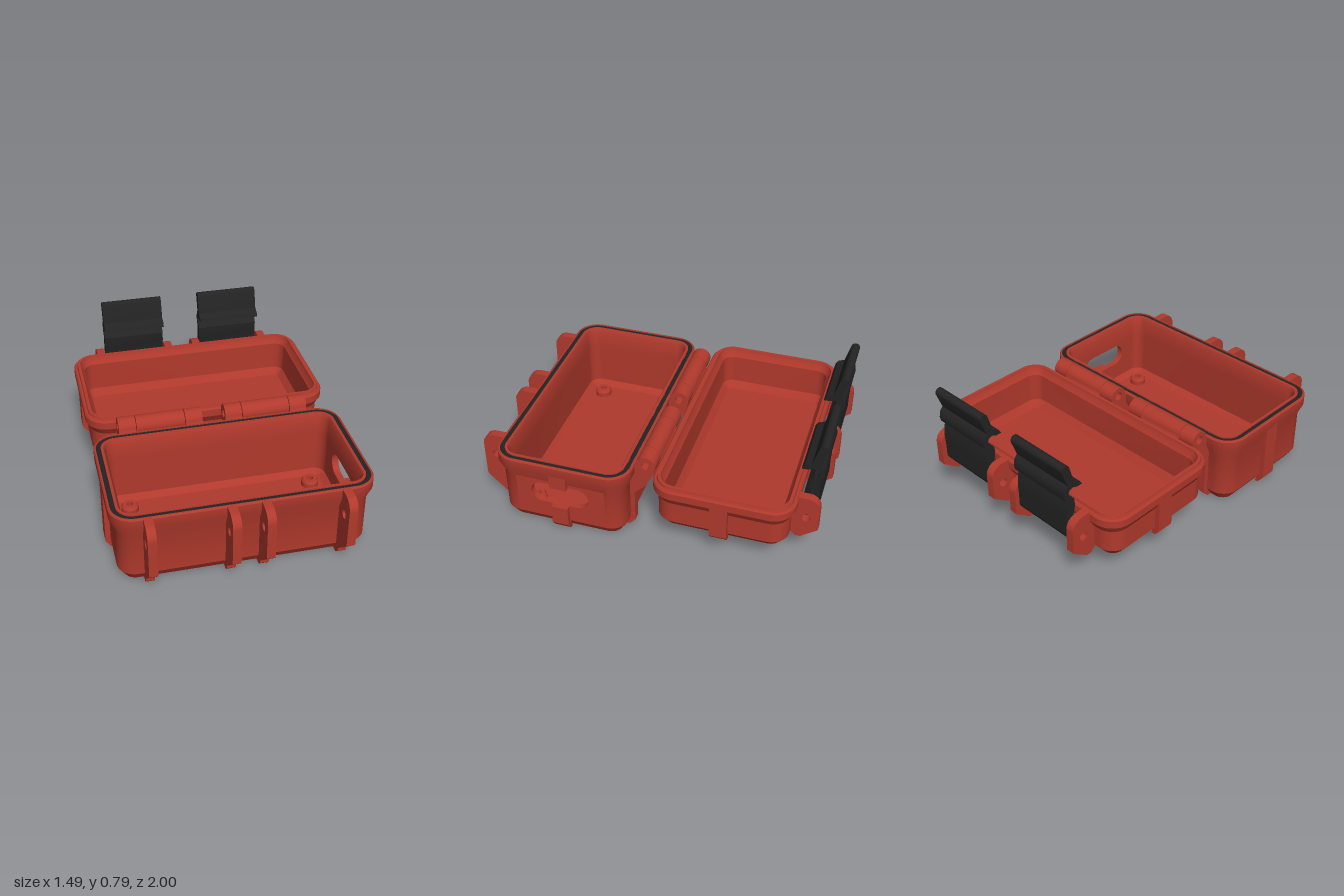
import * as THREE from 'three';
import { toCreasedNormals } from 'three/addons/utils/BufferGeometryUtils.js';

const material = (name, hex) => {
  const m = new THREE.MeshStandardMaterial({ color: hex });
  m.name = name;
  return m;
};

// Rounded-rectangle plan shared by both halves
const EX = 0.61, EZ = 0.27, R = 0.135, SEG = 10;

// Ring of points, inset by d from the outer rim; d = null collapses to the centre
function ring([d, y]) {
  const pts = [];
  for (let k = 0; k < 4; k++) {
    const sx = k === 0 || k === 3 ? 1 : -1, sz = k < 2 ? 1 : -1;
    for (let i = 0; i <= SEG; i++) {
      const a = (k + i / SEG) * Math.PI / 2;
      pts.push(d === null ? [0, y, 0]
        : [sx * EX + (R - d) * Math.cos(a), y, sz * EZ + (R - d) * Math.sin(a)]);
    }
  }
  return pts;
}

// Skin a profile of [inset, height]; bands in openBands lack their straight +x panel
function shell(profile, openBands = []) {
  const rings = profile.map(ring), n = rings[0].length, pos = [];
  for (let j = 0; j < rings.length - 1; j++) {
    for (let i = 0; i < n; i++) {
      if (i === n - 1 && openBands.includes(j)) continue;
      const k = (i + 1) % n;
      const a = rings[j][i], b = rings[j + 1][i], c = rings[j][k], d = rings[j + 1][k];
      if (profile[j][0] !== null) pos.push(...a, ...b, ...c);
      if (profile[j + 1][0] !== null) pos.push(...c, ...b, ...d);
    }
  }
  const g = new THREE.BufferGeometry();
  g.setAttribute('position', new THREE.Float32BufferAttribute(pos, 3));
  return toCreasedNormals(g, 0.5);
}

// Points along an arc, angles in degrees
function arc(cx, cy, r, a0, a1, n = 12) {
  return Array.from({ length: n + 1 }, (_, i) => {
    const a = (a0 + (a1 - a0) * i / n) * Math.PI / 180;
    return [cx + r * Math.cos(a), cy + r * Math.sin(a)];
  });
}

const vectors = (pts) => pts.map(([x, y]) => new THREE.Vector2(x, y));

function extrude(pts, depth, hole) {
  const s = new THREE.Shape(vectors(pts));
  if (hole) s.holes.push(new THREE.Path(vectors(hole)));
  return new THREE.ExtrudeGeometry(s, { depth, bevelEnabled: false });
}

// Side profile of [z, y] points, extruded from x0 to x1
function slab(x0, x1, pts, hole) {
  const g = extrude(pts, x1 - x0, hole);
  g.rotateY(-Math.PI / 2).translate(x1, 0, 0);
  return toCreasedNormals(g, 0.5);
}

const flip = (pts) => pts.map(([z, y]) => [-z, y]);

export function createModel() {
  const red = material('case red', 0xb0392c);
  const black = material('rubber black', 0x232323);
  const model = new THREE.Group();
  const base = new THREE.Group(), lid = new THREE.Group();
  base.name = 'base';
  lid.name = 'lid';
  model.add(base, lid);

  const add = (parent, name, geometry, mat, x = 0, y = 0, z = 0) => {
    const m = new THREE.Mesh(geometry, mat);
    m.name = name;
    m.position.set(x, y, z);
    parent.add(m);
    return m;
  };
  // Same slab on the left and right halves
  const pair = (parent, name, x0, x1, pts, hole, mat = red) => {
    add(parent, name, slab(x0, x1, pts, hole), mat);
    add(parent, name, slab(-x1, -x0, pts, hole), mat);
  };

  // Base tub, with a groove in the rim
  add(base, 'tub', shell([
    [null, 0], [0.07, 0], [0.03, 0.06], [0.03, 0.33], [0, 0.40], [0, 0.457], [0.007, 0.465],
    [0.014, 0.465], [0.014, 0.45], [0.042, 0.45], [0.042, 0.465], [0.058, 0.465], [0.07, 0.44],
    [0.07, 0.33], [0.07, 0.06], [0.105, 0.03], [null, 0.03],
  ], [2, 13]), red, 0, 0, 0.47);
  add(base, 'gasket', shell([
    [0.014, 0.45], [0.014, 0.458], [0.02, 0.462], [0.036, 0.462], [0.042, 0.458], [0.042, 0.45],
  ]), black, 0, 0, 0.47);

  // End wall panel with an oval opening
  const oval = [...arc(0.58, 0.24, 0.07, -90, 90), ...arc(0.37, 0.24, 0.07, 90, 270)];
  add(base, 'endPanel', slab(0.675, 0.715,
    [[0.2, 0.06], [0.74, 0.06], [0.74, 0.33], [0.2, 0.33]], oval), red);

  // Screw bosses on the floor
  const boss = new THREE.LatheGeometry(vectors(
    [[0.052, 0.02], [0.052, 0.06], [0.042, 0.075], [0.02, 0.075], [0.02, 0.031], [0, 0.031]]), 24);
  const bossGeo = toCreasedNormals(boss, 0.5);
  for (const x of [-0.56, 0.56])
    for (const z of [0.25, 0.69]) add(base, 'screwBoss', bossGeo, red, x, 0, z);

  // Ribs on the short ends, [x, y] profiles for the +x side
  const endRib = (parent, pts, z, mirrored) => {
    const p = mirrored ? pts.map(([x, y]) => [-x, y]) : pts;
    add(parent, 'endRib', extrude(p, 0.1), red, 0, 0, z - 0.05);
  };
  const foot = [[0.69, 0], [0.71, 0], [0.745, 0.045]];
  endRib(base, [...foot, [0.745, 0.42], [0.70, 0.42], [0.70, 0.05]], 0.47, true);
  endRib(base, [...foot, [0.745, 0.17], [0.70, 0.17], [0.70, 0.05]], 0.47, false);
  endRib(base, [[0.70, 0.31], [0.745, 0.31], [0.745, 0.42], [0.70, 0.42]], 0.47, false);

  // Latch lugs on the front of the base and the far edge of the lid
  const baseLug = [[0.83, 0.40], [0.87, 0.465], ...arc(0.93, 0.395, 0.07, 90, 0),
    [1.0, 0.165], [0.88, 0.05], [0.88, 0.03], [0.85, 0], [0.81, 0], [0.825, 0.05]];
  const lidLug = [[0.83, 0.40], [0.87, 0.465], ...arc(0.925, 0.395, 0.07, 90, 0),
    [0.995, 0.255], [0.90, 0.185], [0.87, 0.185], [0.83, 0.225]];
  const pinHole = arc(0.923, 0.33, 0.026, 0, 345, 23);
  for (const [x0, x1] of [[0.07, 0.12], [0.525, 0.575]]) {
    pair(base, 'latchLug', x0, x1, baseLug, pinHole);
    pair(lid, 'latchLug', x0, x1, flip(lidLug), flip(pinHole));
    // Ribs down the hinge side of the base
    pair(base, 'backRib', x0, x1,
      [[0.11, 0.46], [0.068, 0.46], [0.068, 0.04], [0.105, 0], [0.14, 0], [0.12, 0.05]]);
  }

  // Hinge knuckles: outer ones on the base, the centre one on the lid
  const knuckle = [[0.11, 0.45], [0.11, 0.21], [0.065, 0.255], [0, 0.32], [-0.04, 0.40],
    ...arc(0, 0.465, 0.058, 200, 0, 18), [0.068, 0.45]];
  const hingeHole = arc(0, 0.465, 0.026, 0, 345, 23);
  pair(base, 'hingeKnuckle', 0.07, 0.173, knuckle, hingeHole);
  pair(base, 'hingeKnuckle', 0.472, 0.575, knuckle, hingeHole);
  pair(lid, 'hingeKnuckle', 0.177, 0.468, flip(knuckle), flip(hingeHole));

  // Lid tray with a raised sealing ridge
  add(lid, 'tray', shell([
    [null, 0.175], [0.07, 0.175], [0.03, 0.225], [0.03, 0.36], [0, 0.41], [0, 0.455], [0.008, 0.465],
    [0.02, 0.465], [0.024, 0.48], [0.042, 0.48], [0.046, 0.46], [0.068, 0.43], [0.072, 0.25],
    [0.105, 0.205], [null, 0.205],
  ]), red, 0, 0, -0.47);
  const lidRib = [[0.69, 0.175], [0.715, 0.175], [0.745, 0.21], [0.745, 0.42], [0.70, 0.42], [0.70, 0.22]];
  endRib(lid, lidRib, -0.47, false);
  endRib(lid, lidRib, -0.47, true);
  for (const [x0, x1] of [[0.177, 0.227], [0.418, 0.468]])
    pair(lid, 'backRib', x0, x1, flip(
      [[0.11, 0.45], [0.068, 0.45], [0.065, 0.205], [0.1, 0.175], [0.14, 0.175], [0.12, 0.22]]));

  // Snap latches standing open on the lid
  const latch = [[0.90, 0.375], [0.93, 0.42], [0.93, 0.46], [0.92, 0.50], [0.92, 0.55], [0.935, 0.572],
    [0.953, 0.578], [0.962, 0.60], [0.953, 0.622], [0.93, 0.632], [0.90, 0.62], [0.865, 0.62],
    [0.88, 0.645], [0.917, 0.66], ...arc(0.974, 0.764, 0.026, 165, -15, 8), [0.965, 0.66],
    [0.985, 0.635], [0.992, 0.60], [0.985, 0.57], [0.962, 0.55], [0.97, 0.51], [0.975, 0.46],
    [0.972, 0.40], ...arc(0.923, 0.33, 0.05, 10, -210, 14)];
  pair(lid, 'latch', 0.125, 0.515, flip(latch), flip(pinHole), black);

  return model;
}
